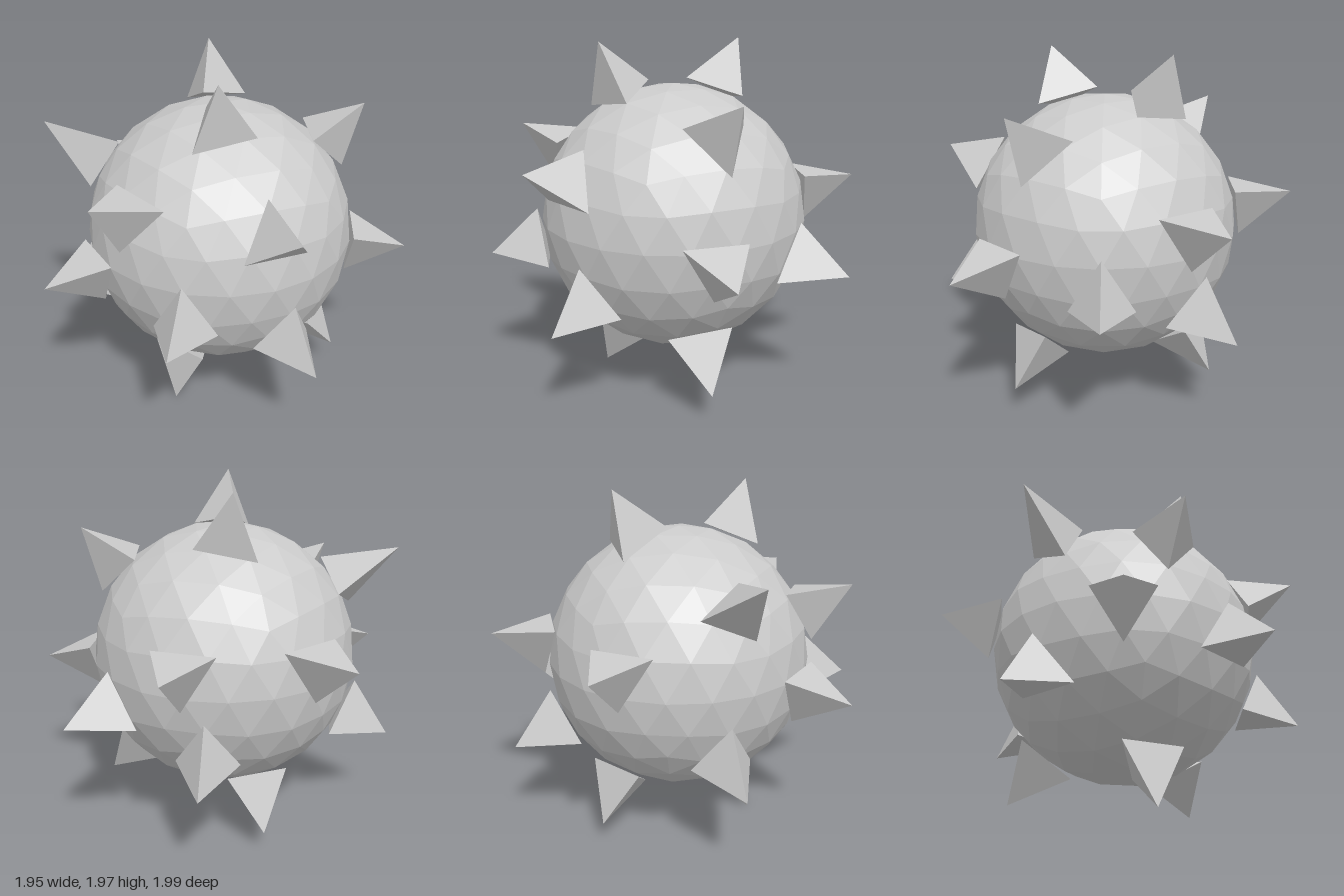
import * as THREE from 'three';

const CENTRE = new THREE.Vector3(0.025, 0.985, 0);
const BASE_DISTANCE = 0.75;

// Each spike: tip x, y, z, then roll in degrees (0 = one base corner points up,
// 60 = one points down), then an optional base radius
const SPIKES = [
  // top pair
  [-0.25, 1.965, -0.32, 21], [0.24, 1.965, 0.36, -20],
  // upper spikes
  [-0.805, 1.61, 0.48, 27, 0.18], [0.66, 1.71, -0.46, 60], [0.83, 1.375, 0.58, 0],
  [-0.11, 1.455, 0.95, 66], [-0.98, 1.18, -0.33, 60], [-0.30, 1.185, -1.0, 60],
  // middle spikes
  [0.97, 0.9, -0.49, 60], [-0.46, 0.9, 0.95, 60],
  [0.345, 0.785, 0.99, 0], [0.345, 0.785, -1.0, 0],
  // lower spikes
  [0.89, 0.555, 0.45, 0], [-0.84, 0.515, 0.42, 0], [-0.42, 0.555, -0.88, 0],
  // bottom spikes
  [-0.5, 0.135, -0.38, 60], [0.64, 0.175, -0.33, 46], [-0.01, 0.0, 0.43, 60],
];

// Three-sided pyramid standing on the ball and pointing out at its tip
function makeSpike([x, y, z, roll, radius = 0.2], material) {
  const out = new THREE.Vector3(x, y, z).sub(CENTRE);
  const height = out.length() - BASE_DISTANCE;
  out.normalize();
  const right = new THREE.Vector3(0, 1, 0).cross(out).normalize();
  const up = out.clone().cross(right);
  const a = THREE.MathUtils.degToRad(roll);
  const corner = up.multiplyScalar(Math.cos(a)).addScaledVector(right, Math.sin(a));
  const side = out.clone().cross(corner);

  const geometry = new THREE.ConeGeometry(radius, height, 3);
  geometry.translate(0, BASE_DISTANCE + height / 2, 0);
  const spike = new THREE.Mesh(geometry, material);
  spike.quaternion.setFromRotationMatrix(new THREE.Matrix4().makeBasis(side, out, corner));
  spike.position.copy(CENTRE);
  spike.name = 'spike';
  return spike;
}

export function createModel() {
  const model = new THREE.Group();
  model.name = 'spikedBall';
  const material = new THREE.MeshStandardMaterial({ color: 0xcccccc, flatShading: true });

  // Faceted ball, turned so that a corner sits at each pole
  const ballGeometry = new THREE.IcosahedronGeometry(0.747, 3);
  ballGeometry.rotateZ(-Math.atan(2 / (1 + Math.sqrt(5))));
  const ball = new THREE.Mesh(ballGeometry, material);
  ball.position.copy(CENTRE);
  ball.name = 'ball';
  model.add(ball);

  // Spikes
  const spikes = new THREE.Group();
  spikes.name = 'spikes';
  for (const spec of SPIKES) spikes.add(makeSpike(spec, material));
  model.add(spikes);
  return model;
}
